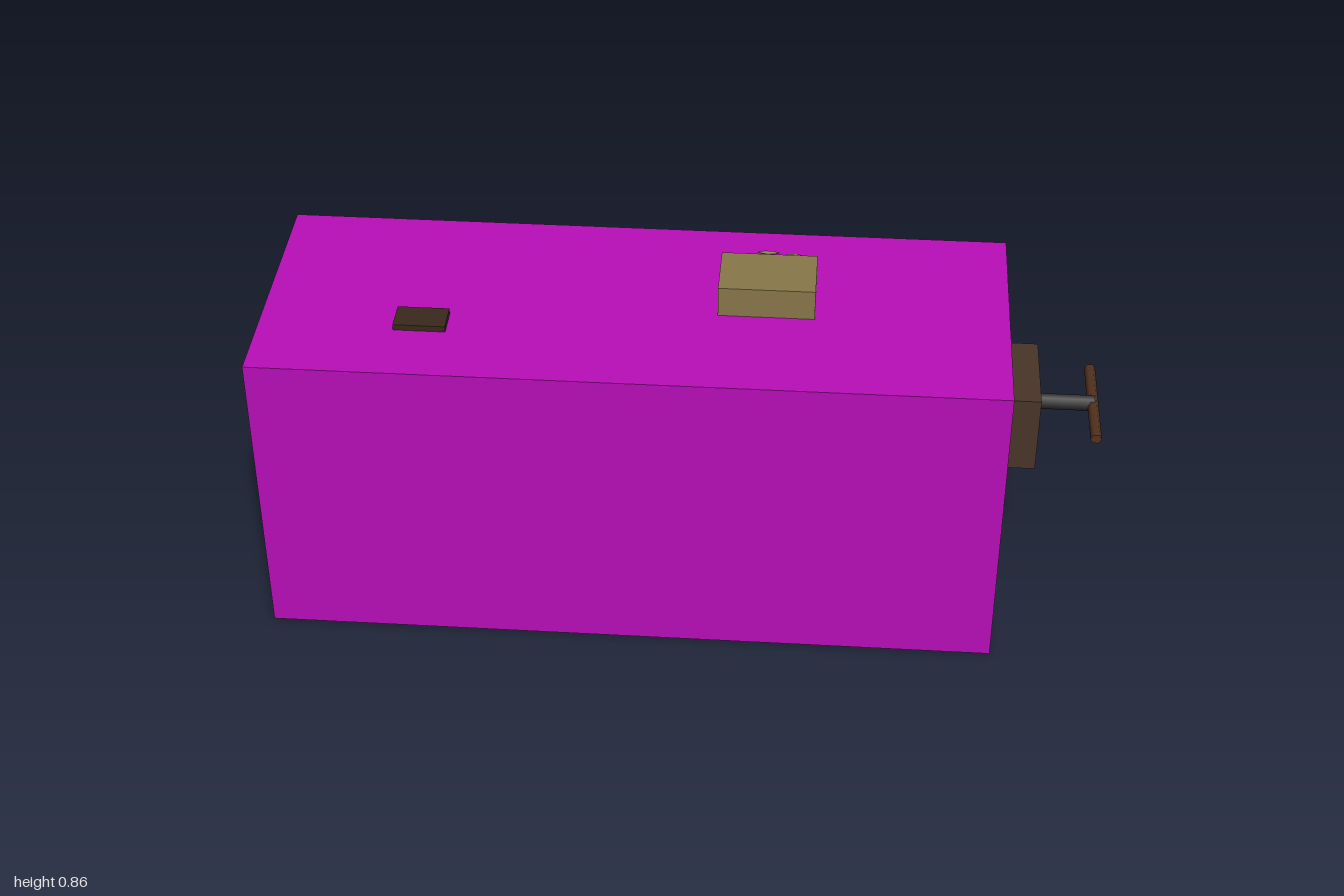
import * as THREE from 'three';

const mat = (color) => new THREE.MeshStandardMaterial({ color });

export function createModel() {
  const model = new THREE.Group();
  const body = mat(0xb80eb8), wood = mat(0x4a3528), darkWood = mat(0x3a281c);
  const tan = mat(0x89774a), iron = mat(0x2e2e2e), handleWood = mat(0x55331f);

  const add = (name, geometry, material, x, y, z) => {
    const mesh = new THREE.Mesh(geometry, material);
    mesh.name = name;
    mesh.position.set(x, y, z);
    model.add(mesh);
    return mesh;
  };
  // Box given by its extents on each axis
  const box = (name, material, [x0, x1], [y0, y1], [z0, z1]) =>
    add(name, new THREE.BoxGeometry(x1 - x0, y1 - y0, z1 - z0), material,
      (x0 + x1) / 2, (y0 + y1) / 2, (z0 + z1) / 2);

  // Bench body with feet just showing underneath
  box('benchBody', body, [-1, 0.787], [0.002, 0.78], [-0.331, 0.331]);
  for (const x of [-0.855, 0.64])
    for (const z of [-0.215, 0.215])
      box('leg', darkWood, [x - 0.035, x + 0.035], [0, 0.7], [z - 0.035, z + 0.035]);

  // Side vise: jaw, hexagonal screw and cross handle
  box('viseJaw', wood, [0.787, 0.855], [0.541, 0.737], [0.04, 0.273]);
  const screw = new THREE.CylinderGeometry(0.0187, 0.0187, 0.135, 6);
  screw.rotateZ(Math.PI / 2);
  add('viseScrew', screw, iron, 0.922, 0.655, 0.157);
  const handle = new THREE.CylinderGeometry(0.0133, 0.0133, 0.281, 6);
  handle.rotateY(Math.PI / 2);
  handle.rotateX(Math.PI / 2);
  add('viseHandle', handle, handleWood, 0.9867, 0.655, 0.157);

  // Things lying on the bench
  box('smallBlock', darkWood, [-0.675, -0.55], [0.78, 0.795], [0.079, 0.156]);
  box('woodBlock', tan, [0.09, 0.322], [0.78, 0.858], [-0.117, 0.039]);

  // Loose shavings behind the wood block
  const flake = new THREE.SphereGeometry(1, 6, 4);
  const flakes = [
    [0.14, 0.793, -0.192, 0.03], [0.2, 0.797, -0.217, 0.029], [0.262, 0.78, -0.233, 0.027],
    [0.285, 0.788, -0.138, 0.024], [0.275, 0.79, -0.12, 0.026],
  ];
  for (const [x, y, z, r] of flakes) {
    const shaving = add('shaving', flake, tan, x, y, z);
    shaving.scale.set(r, 0.004, 0.006);
  }
  return model;
}
